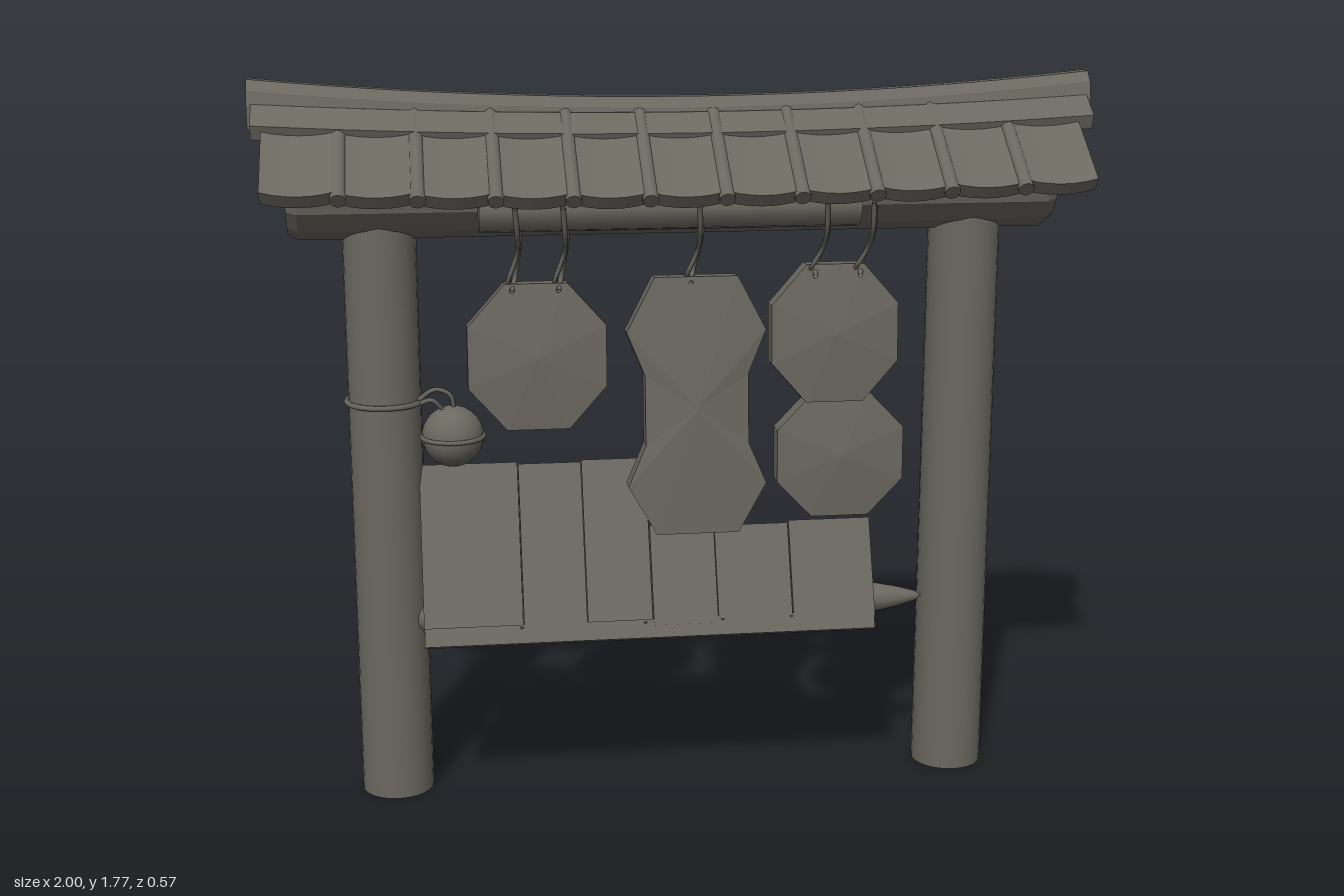
import * as THREE from 'three';

const wood = new THREE.MeshStandardMaterial({ color: 0x6b6860, side: THREE.DoubleSide });
wood.name = 'weathered wood';
const facetedWood = wood.clone();
facetedWood.name = 'faceted weathered wood';
facetedWood.flatShading = true;

export function createModel() {
  const model = new THREE.Group();
  model.name = 'woodenGate';

  const add = (name, geo, pos = [0, 0, 0], mat = facetedWood, rotX = 0) => {
    const mesh = new THREE.Mesh(geo, mat);
    mesh.name = name;
    mesh.position.set(...pos);
    mesh.rotation.x = rotX;
    model.add(mesh);
    return mesh;
  };
  const rod = (r, x0, x1, sides = 16) =>
    new THREE.CylinderGeometry(r, r, x1 - x0, sides).rotateZ(Math.PI / 2).translate((x0 + x1) / 2, 0, 0);
  const rope = (name, points, r = 0.006) => {
    const curve = new THREE.CatmullRomCurve3(points.map(p => new THREE.Vector3(...p)));
    return add(name, new THREE.TubeGeometry(curve, 14, r, 6), [0, 0, 0], wood);
  };
  // Lifts both ends of a long part in a gentle parabola
  const bend = (geo, lift) => {
    const p = geo.attributes.position;
    for (let i = 0; i < p.count; i++) p.setY(i, p.getY(i) + lift * (p.getX(i) ** 2 - 1));
    geo.computeVertexNormals();
    return geo;
  };

  // Posts
  for (const x of [-0.71, 0.71]) {
    add('post', new THREE.CylinderGeometry(0.087, 0.089, 1.48, 24), [x, 0.74, 0], wood);
  }

  // Main log with softened ends, and purlins under the eaves
  const log = [[0, -0.92], [0.118, -0.92], [0.132, -0.895], [0.132, 0.885], [0.118, 0.91], [0, 0.91]];
  const logGeo = new THREE.LatheGeometry(log.map(p => new THREE.Vector2(...p)), 14);
  add('mainBeam', logGeo.rotateZ(-Math.PI / 2), [0, 1.528, 0]);
  add('frontPurlin', rod(0.055, -0.48, 0.41, 12), [0, 1.482, 0.155], wood);
  add('backPurlin', rod(0.055, -0.8, 0.14, 12), [0, 1.482, -0.155], wood);

  // Roof slopes: bowed tiles with a rounded batten over each joint
  const slope = 0.62, tiles = 11, pitch = 0.175;
  for (const side of [1, -1]) {
    const place = (name, geo, x, drop, mat) =>
      add(name, geo, [x, 1.594 + 0.02 * x * x + drop, side * 0.15], mat, side * slope);
    for (let i = 0; i < tiles; i++) {
      const x = (i - (tiles - 1) / 2) * pitch - 0.006;
      const tile = new THREE.BoxGeometry(pitch - 0.004, 0.034, 0.272, 6, 1, 1);
      const p = tile.attributes.position;
      for (let k = 0; k < p.count; k++) {
        const sag = 1 - (p.getX(k) / (pitch / 2)) ** 2;
        p.setY(k, p.getY(k) - 0.01 * sag);
        if (p.getZ(k) * side > 0) p.setZ(k, p.getZ(k) + side * 0.006 * sag);
      }
      tile.computeVertexNormals();
      place('roofTile', tile, x, 0, wood);
      if (i < tiles - 1) {
        const batten = new THREE.CylinderGeometry(0.019, 0.019, 0.298, 10).rotateX(Math.PI / 2);
        place('roofBatten', batten.translate(0, 0, side * 0.005), x + pitch / 2, 0.005, wood);
      }
    }
  }

  // Curved ridge: sloping boards and a rounded cap
  const sweep = (points, halfLength, lift) => {
    const shape = new THREE.Shape(points.map(p => new THREE.Vector2(...p)));
    const geo = new THREE.ExtrudeGeometry(shape, { depth: 2 * halfLength, steps: 20, bevelEnabled: false });
    return bend(geo.translate(0, 0, -halfLength).rotateY(Math.PI / 2), lift);
  };
  const boards = [[-0.1, 1.642], [0, 1.69], [0.1, 1.642], [0.112, 1.675], [0.05, 1.718], [-0.05, 1.718], [-0.112, 1.675]];
  add('ridgeBoards', sweep(boards, 0.99, 0.03));
  const cap = [[-0.052, 1.66], [0.052, 1.66], [0.052, 1.71], [0.042, 1.748], [0.02, 1.772],
    [-0.02, 1.772], [-0.042, 1.748], [-0.052, 1.71]];
  add('ridgeCap', sweep(cap, 1, 0.05));

  // Hanging plaques: an outline with shallow peaks on both faces
  const plaque = (name, outline, cx, cy, z, tilt) => {
    const v = [], half = 0.027, peak = 0.045;
    outline.forEach(([ax, ay], i) => {
      const [bx, by] = outline[(i + 1) % outline.length];
      v.push(0, 0, peak, ax, ay, half, bx, by, half);
      v.push(0, 0, -peak, bx, by, -half, ax, ay, -half);
      v.push(ax, ay, half, ax, ay, -half, bx, by, -half);
      v.push(ax, ay, half, bx, by, -half, bx, by, half);
    });
    const geo = new THREE.BufferGeometry();
    geo.setAttribute('position', new THREE.Float32BufferAttribute(v, 3));
    geo.computeVertexNormals();
    add(name, geo, [cx, cy, z], facetedWood, tilt);
  };
  const octagon = (w, h) => [[1, 0.42], [0.45, 1], [-0.45, 1], [-1, 0.42], [-1, -0.42], [-0.45, -1], [0.45, -1], [1, -0.42]]
    .map(([x, y]) => [x * w, y * h]);
  plaque('leftOctagonPlaque', octagon(0.165, 0.175), -0.347, 1.12, 0.085, -0.06);
  plaque('upperOctagonPlaque', octagon(0.155, 0.168), 0.373, 1.157, 0.075, -0.05);
  plaque('lowerOctagonPlaque', octagon(0.157, 0.155), 0.395, 0.85, 0.06, -0.03);
  const half = [[0.1, -0.31], [0.168, -0.19], [0.125, -0.09], [0.125, 0.08], [0.168, 0.185], [0.1, 0.315]];
  const longOutline = [...half, ...half.map(([x, y]) => [-x, y]).reverse()];
  plaque('longPlaque', longOutline, 0.033, 0.99, 0.106, -0.07);

  // Ropes from the plaques to the eaves
  for (const [x, y] of [[-0.405, 1.28], [-0.295, 1.28], [0.02, 1.29], [0.32, 1.3], [0.43, 1.3]]) {
    rope('hangingRope', [[x, y, 0.045], [x - 0.008, y + 0.02, 0.1], [x + 0.014, 1.37, 0.125],
      [x + 0.012, 1.42, 0.185], [x + 0.006, 1.49, 0.215]]);
    rope('hangingRope', [[x, y, 0.115], [x + 0.01, y + 0.025, 0.07], [x + 0.018, 1.37, 0.105],
      [x + 0.018, 1.42, 0.165], [x + 0.012, 1.48, 0.205]]);
  }

  // Slanted boards, each panel stepping slightly from the next
  const lean = -0.4;
  const panel = (x0, x1, top, step) => {
    const length = (top - 0.46) / Math.cos(lean);
    const geo = new THREE.BoxGeometry(x1 - x0 - 0.002, length, 0.036).translate((x0 + x1) / 2, length / 2, step);
    add('slantedPanel', geo, [0, 0.455, 0.168], facetedWood, lean);
  };
  panel(-0.635, -0.395, 0.84, 0);
  panel(-0.395, -0.24, 0.835, 0.004);
  panel(-0.24, -0.08, 0.84, 0);
  panel(-0.08, 0.08, 0.685, 0.007);
  panel(0.08, 0.265, 0.68, 0.003);
  panel(0.265, 0.47, 0.685, 0.006);

  // Ledge under the boards, and the pointed pole resting between the posts
  add('ledge', new THREE.BoxGeometry(1.1, 0.045, 0.065).translate(-0.083, 0, 0), [0, 0.445, 0.163], facetedWood, lean);
  add('supportPole', rod(0.038, -0.65, 0.47, 14), [0, 0.455, 0.025], wood);
  const tip = [[0.038, 0], [0.036, 0.04], [0.026, 0.09], [0.012, 0.14], [0, 0.155]];
  const tipGeo = new THREE.LatheGeometry(tip.map(p => new THREE.Vector2(...p)), 14);
  add('poleTip', tipGeo.rotateZ(-Math.PI / 2), [0.47, 0.455, 0.025], wood);
  for (const x of [-0.4, -0.1, 0.09, 0.26]) {
    rope('poleBinding', [[x, 0.475, 0.185], [x, 0.425, 0.165], [x, 0.412, 0.08], [x, 0.415, 0.02],
      [x, 0.455, -0.015], [x, 0.495, 0.02], [x, 0.53, 0.11]], 0.005);
  }

  // Round bell tied to the post
  add('bell', new THREE.SphereGeometry(0.075, 20, 14), [-0.55, 0.915, 0.03], wood);
  add('bellBand', new THREE.TorusGeometry(0.075, 0.006, 6, 28), [-0.55, 0.915, 0.03], wood, Math.PI / 2);
  add('postRope', new THREE.TorusGeometry(0.092, 0.007, 6, 32), [-0.71, 1.002, 0], wood, Math.PI / 2);
  rope('bellRope', [[-0.63, 1.01, 0.04], [-0.59, 1.035, 0.045], [-0.555, 1.02, 0.04], [-0.545, 0.98, 0.03]]);
  rope('bellRope', [[-0.63, 1.0, 0.045], [-0.6, 1.01, 0.05], [-0.57, 0.98, 0.035]]);

  return model;
}
